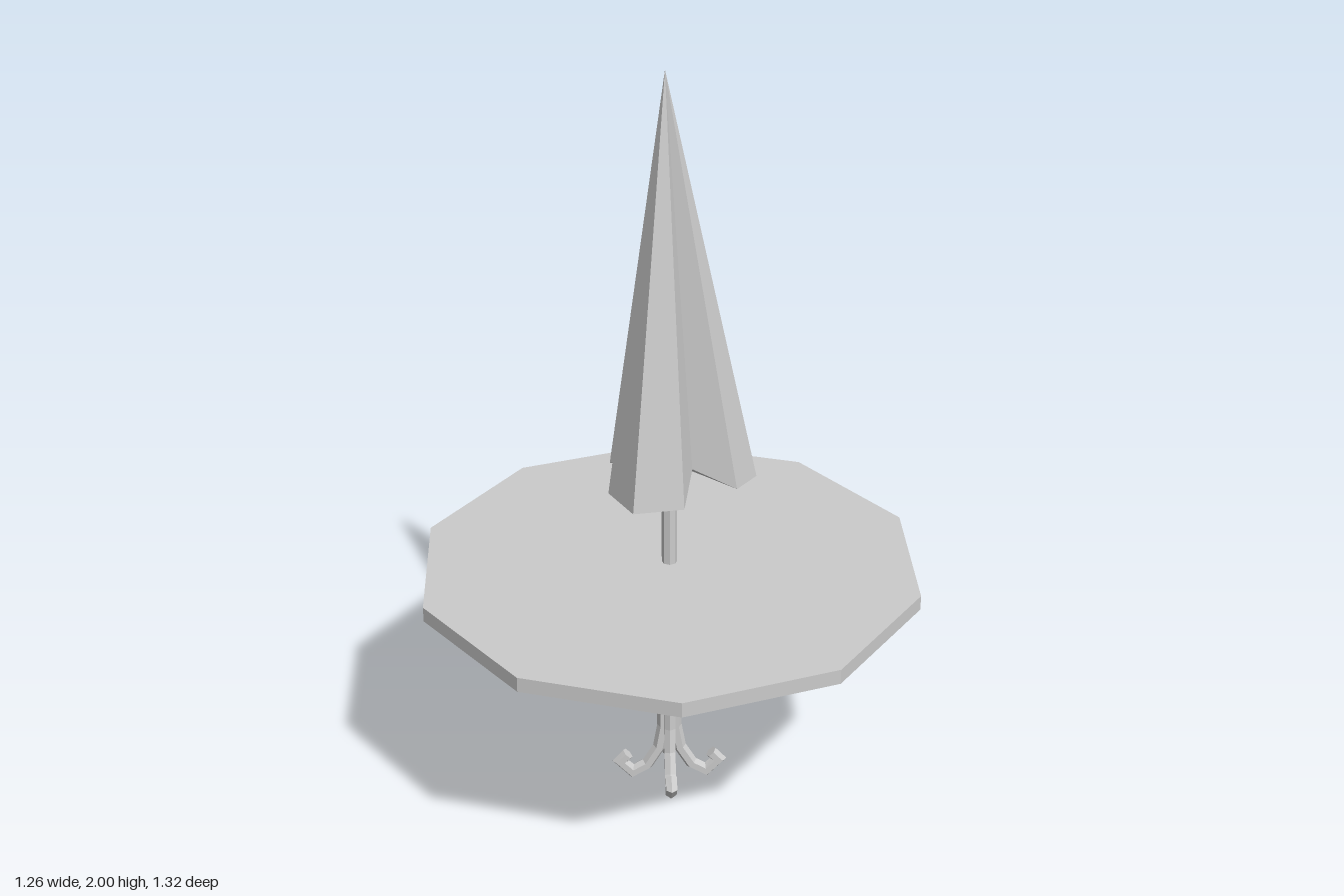
import * as THREE from 'three';

const material = new THREE.MeshStandardMaterial({ color: 0xcccccc, flatShading: true, side: THREE.DoubleSide });

function addMesh(group, name, geometry) {
  const mesh = new THREE.Mesh(geometry, material);
  mesh.name = name;
  group.add(mesh);
  return mesh;
}

function meshFrom(points, index) {
  const g = new THREE.BufferGeometry();
  g.setAttribute('position', new THREE.Float32BufferAttribute(points.flat(), 3));
  g.setIndex(index);
  const flat = g.toNonIndexed();
  flat.computeVertexNormals();
  return flat;
}

// Sweeps a polygon section along a path in the xy plane, with mitred corners and closed ends
function sweep(path, radius, sides) {
  const pts = path.map(([x, y]) => new THREE.Vector2(x, y));
  const points = [], index = [];
  pts.forEach((p, i) => {
    const a = pts[Math.max(i - 1, 0)], b = pts[Math.min(i + 1, pts.length - 1)];
    const din = (i ? p.clone().sub(a) : b.clone().sub(p)).normalize();
    const dout = (i < pts.length - 1 ? b.clone().sub(p) : din.clone()).normalize();
    const t = din.clone().add(dout).normalize();
    const miter = Math.min(1 / t.dot(din), 1.3);
    for (let k = 0; k < sides; k++) {
      const ang = (k / sides) * Math.PI * 2;
      const u = Math.cos(ang) * radius * miter;
      points.push([p.x - t.y * u, p.y + t.x * u, Math.sin(ang) * radius]);
    }
  });
  for (let i = 0; i < pts.length - 1; i++) {
    for (let k = 0; k < sides; k++) {
      const a = i * sides + k, b = i * sides + (k + 1) % sides;
      index.push(a, b, a + sides, b, b + sides, a + sides);
    }
  }
  const last = (pts.length - 1) * sides;
  for (let k = 1; k < sides - 1; k++) {
    index.push(0, k + 1, k, last, last + k, last + k + 1);
  }
  return meshFrom(points, index);
}

export function createModel() {
  const model = new THREE.Group();
  model.name = 'parasolTable';

  // Ten-sided table top
  addMesh(model, 'tableTop', new THREE.CylinderGeometry(0.66, 0.66, 0.04, 10)).position.y = 0.66;

  // Slim pole up into the parasol
  addMesh(model, 'parasolPole', new THREE.CylinderGeometry(0.02, 0.02, 1.0, 8)).position.y = 0.7;

  // Four bundled stems that split into curled feet
  const legPath = [[0.016, 0.65], [0.016, 0.17], [0.028, 0.1], [0.06, 0.045], [0.1, 0.021], [0.133, 0.056], [0.113, 0.078]];
  for (let i = 0; i < 4; i++) {
    addMesh(model, 'curledLeg', sweep(legPath, 0.017, 6)).rotation.y = i * Math.PI / 2;
  }

  // Folded canopy: three lobes of three corners, with a raised valley between them
  const rim = [
    [0.17, 0.93, -0.098], [0.223, 0.92, -0.01], [0.167, 0.93, 0.077], [0.055, 0.98, 0.06],
    [0.03, 0.92, 0.16], [-0.098, 0.92, 0.178], [-0.157, 0.92, 0.066], [-0.09, 0.97, -0.017],
    [-0.15, 0.92, -0.098], [-0.09, 0.925, -0.195], [0.035, 0.93, -0.17], [0.055, 0.98, -0.063],
  ];
  const n = rim.length, index = [];
  for (let i = 0; i < n; i++) {
    const j = (i + 1) % n;
    index.push(n, j, i, n + 1, i, j);
  }
  addMesh(model, 'foldedCanopy', meshFrom([...rim, [-0.01, 2, -0.01], [0, 0.97, 0]], index));

  return model;
}
